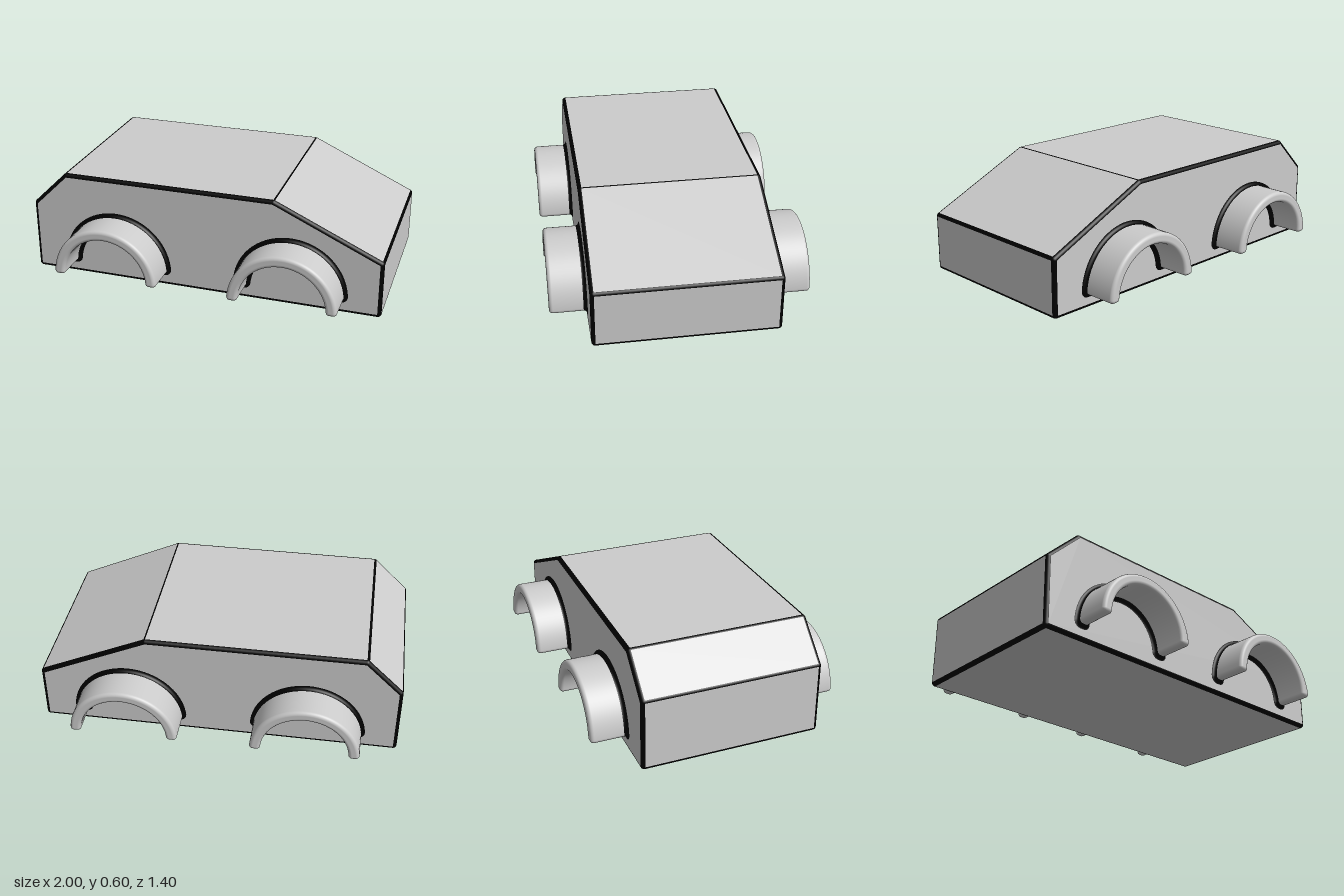
import * as THREE from 'three';

const R = 0.02;          // bevel and fillet radius
const CORNER = 6;        // segments per rounded corner
const grey = new THREE.MeshStandardMaterial({ color: 0xcccccc });
const black = new THREE.MeshStandardMaterial({ color: 0x000000 });

// Outline points along an arc, each with its outward normal (flip = concave side)
function arc(cx, cy, radius, from, to, steps, flip = 1) {
  return Array.from({ length: steps + 1 }, (_, i) => {
    const a = from + (to - from) * i / steps, c = Math.cos(a), s = Math.sin(a);
    return { x: cx + radius * c, y: cy + radius * s, nx: c * flip, ny: s * flip };
  });
}

// Quarter turn of levels: offset from the outline, z, and the normal's two parts
function quarter(offset, z, from, to, sign) {
  return Array.from({ length: CORNER + 1 }, (_, i) => {
    const a = from + (to - from) * i / CORNER, c = Math.cos(a), s = Math.sin(a);
    return { o: offset + sign * R * c, z: z + sign * R * s, no: c, nz: s };
  });
}

function makeMesh(name, data, material) {
  const g = new THREE.BufferGeometry();
  g.setAttribute('position', new THREE.Float32BufferAttribute(data.p, 3));
  g.setAttribute('normal', new THREE.Float32BufferAttribute(data.n, 3));
  const mesh = new THREE.Mesh(g, material);
  mesh.name = name;
  return mesh;
}

// Skin a counterclockwise outline through levels of rising z; isTrim picks the black quads
function skin(name, path, levels, isTrim, capBack) {
  const plain = { p: [], n: [] }, trim = { p: [], n: [] };
  const put = (to, q, l) => {
    to.p.push(q.x + q.nx * l.o, q.y + q.ny * l.o, l.z);
    to.n.push(q.nx * l.no, q.ny * l.no, l.nz);
  };
  path.forEach((a, i) => {
    const b = path[(i + 1) % path.length];
    for (let k = 0; k < levels.length - 1; k++) {
      const to = isTrim(i, k) ? trim : plain, lo = levels[k], hi = levels[k + 1];
      [[a, lo], [b, lo], [b, hi], [a, lo], [b, hi], [a, hi]].forEach(([q, l]) => put(to, q, l));
    }
  });
  // flat end caps
  const cap = (l, front) => {
    const pts = path.map(q => new THREE.Vector2(q.x + q.nx * l.o, q.y + q.ny * l.o));
    for (const t of THREE.ShapeUtils.triangulateShape(pts, [])) {
      for (const j of front ? t : [...t].reverse()) {
        plain.p.push(pts[j].x, pts[j].y, l.z);
        plain.n.push(0, 0, front ? 1 : -1);
      }
    }
  };
  cap(levels[levels.length - 1], true);
  if (capBack) cap(levels[0], false);
  const group = new THREE.Group();
  group.name = name;
  group.add(makeMesh(name + 'Surface', plain, grey), makeMesh(name + 'EdgeTrim', trim, black));
  return group;
}

// Body: wedge-nosed prism with rounded black edges
function createBody() {
  const pts = [[-1, 0], [1, 0], [1, 0.325], [0.4, 0.6], [-0.8, 0.6], [-1, 0.405]];
  const n = pts.length;
  const normals = pts.map(([x, y], i) => {
    const [u, v] = pts[(i + 1) % n];
    return Math.atan2(x - u, v - y);       // angle of the edge's outward normal
  });
  const path = pts.flatMap(([x, y], i) => {
    const a = normals[(i + n - 1) % n];
    let b = normals[i];
    if (b < a) b += 2 * Math.PI;
    const mid = (a + b) / 2, d = R / Math.cos((b - a) / 2);
    return arc(x - d * Math.cos(mid), y - d * Math.sin(mid), 0, a, b, CORNER);
  });
  const levels = [
    ...quarter(0, -0.5 + R, -Math.PI / 2, 0, 1),
    ...quarter(0, 0.5 - R, 0, Math.PI / 2, 1),
  ];
  return skin('body', path, levels,
    (i, k) => !(i % (CORNER + 1) === CORNER && k === CORNER), true);
}

// Wheel arch: half ring with soft outer rim and a black fillet at its root
function createArch() {
  const ro = 0.28, ri = 0.26, lift = 0.02, P = Math.PI;
  const a = Math.asin(lift / ro), b = Math.asin(lift / ri);
  const xo = ro * Math.cos(a), xi = ri * Math.cos(b);
  const path = [
    ...arc(0, 0, ro, a, P - a, 40),
    ...arc(-xo, lift, 0, P - a, 1.5 * P, CORNER).slice(1),
    ...arc(-xi, lift, 0, 1.5 * P, 2 * P - b, CORNER),
    ...arc(0, 0, ri, P - b, b, 40, -1).slice(1),
    ...arc(xi, lift, 0, P + b, 1.5 * P, CORNER).slice(1),
    ...arc(xo, lift, 0, 1.5 * P, 2 * P + a, CORNER).slice(0, -1),
  ];
  const levels = [
    ...quarter(2 * R, 0.5 + R, P / 2, 0, -1),
    ...quarter(0, 0.7 - R, 0, P / 2, 1),
  ];
  return skin('wheelArch', path, levels, (i, k) => k < CORNER, false);
}

export function createModel() {
  const model = new THREE.Group();
  model.name = 'car';
  model.add(createBody());
  for (const x of [-0.5, 0.5]) {
    for (const turn of [0, Math.PI]) {
      const arch = createArch();
      arch.position.set(x, 0.08, 0);
      arch.rotation.y = turn;
      model.add(arch);
    }
  }
  return model;
}
